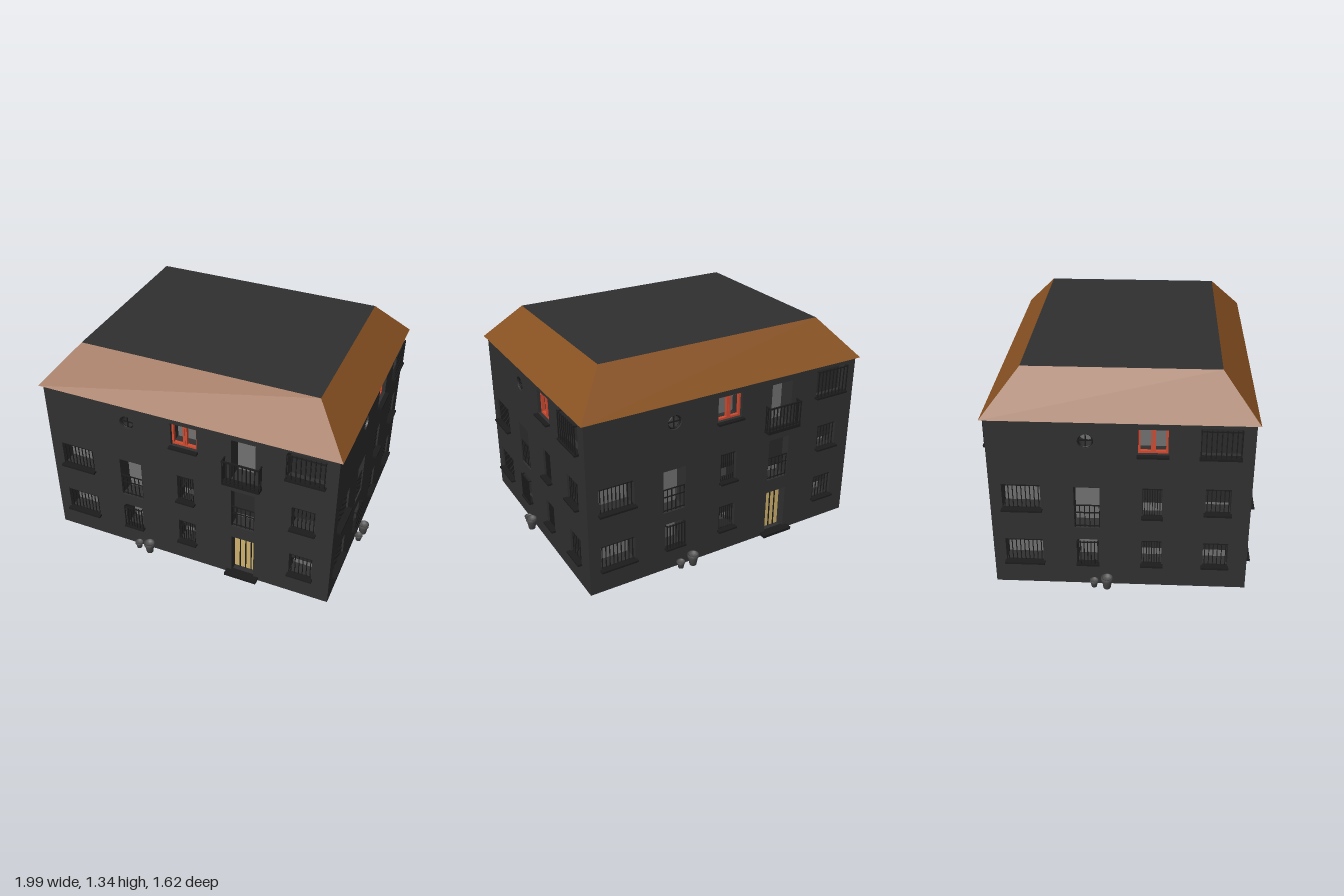
import * as THREE from 'three';
import { mergeGeometries } from 'three/addons/utils/BufferGeometryUtils.js';

const paint = (color, side = THREE.FrontSide) => new THREE.MeshStandardMaterial({ color, side });
const MAT = {
  wall: paint(0x303030, THREE.DoubleSide),
  glass: paint(0x707070, THREE.DoubleSide),
  blind: paint(0x2a2a2a),
  iron: paint(0x1c1c1c),
  roof: paint(0x8a5222),
  door: paint(0xcdb06c, THREE.DoubleSide),
  red: paint(0xd04a30),
  pot: paint(0x505050, THREE.DoubleSide),
};

function mesh(parent, name, geometry, material) {
  const m = new THREE.Mesh(geometry, material);
  m.name = name;
  parent.add(m);
  return m;
}

// Box given by its centre and size
const box = (x, y, z, w, h, d) => new THREE.BoxGeometry(w, h, d).translate(x, y, z);

// Evenly spaced upright bars between x0 and x1
function bars(x0, x1, y0, y1, z, n, t = 0.005) {
  return Array.from({ length: n }, (_, i) =>
    box(x0 + ((x1 - x0) * i) / (n - 1), (y0 + y1) / 2, z, t, y1 - y0, t));
}

// Four-sided reveal of an opening, open at front and back
function reveal(x, y, w, h, depth) {
  const g = box(x, y, -depth / 2, w, h, depth);
  g.setIndex(Array.from(g.index.array.slice(0, 24)));
  g.clearGroups();
  return g;
}

// Recessed opening with a back pane, optional roller blind and sill
function opening(wall, o) {
  const depth = o.depth ?? 0.1;
  const h = o.y1 - o.y0, y = (o.y0 + o.y1) / 2;
  const g = new THREE.Group();
  g.name = o.kind;
  wall.add(g);
  mesh(g, 'reveal', reveal(o.x, y, o.w, h, depth), MAT.wall);
  mesh(g, 'pane', new THREE.PlaneGeometry(o.w, h).translate(o.x, y, -depth),
    o.kind === 'door' ? MAT.door : MAT.glass);
  if (o.blind) mesh(g, 'blind', box(o.x, (o.blind + o.y1) / 2, -0.06, o.w, o.y1 - o.blind, 0.01), MAT.blind);
  if (o.sill) mesh(g, 'sill', box(o.x, o.sill, 0.005, o.w + 0.015, 0.012, 0.045), MAT.iron);

  const l = o.x - o.w / 2, r = o.x + o.w / 2;
  const parts = [];
  if (o.kind === 'barredWindow') {
    parts.push(...bars(l + 0.012, r - 0.012, o.y0, o.y1, -0.012, o.bars));
    parts.push(box(o.x, o.y1 - 0.012, -0.012, o.w, 0.005, 0.005));
  }
  if (o.kind === 'cagedWindow') {
    // Grille standing proud of the wall on top and bottom rails
    parts.push(...bars(l, r, o.y0, o.y1, 0.018, o.bars, 0.006));
    for (const yy of [o.y0 + 0.004, o.y1 - 0.008]) {
      parts.push(box(o.x, yy, 0.018, o.w, 0.006, 0.006));
      for (const xx of [l, r]) parts.push(box(xx, yy, 0.008, 0.006, 0.006, 0.026));
    }
  }
  if (o.kind === 'frenchWindow') {
    const top = o.y0 + 0.15;
    parts.push(...bars(l + 0.004, r - 0.004, o.y0, top, -0.01, 6));
    for (const yy of [o.y0 + 0.01, o.y0 + 0.1, top]) parts.push(box(o.x, yy, -0.01, o.w, 0.006, 0.006));
  }
  if (o.kind === 'balconyDoor') {
    const W = 0.225, D = 0.045;
    mesh(g, 'balconySlab', box(o.x, 0.76, D / 2, W + 0.01, 0.02, D + 0.005), MAT.iron);
    parts.push(...bars(o.x - W / 2, o.x + W / 2, 0.76, 0.92, D, 10, 0.006));
    parts.push(box(o.x, 0.92, D, W + 0.008, 0.008, 0.01), box(o.x, 0.785, D, W, 0.006, 0.006));
    for (const s of [-1, 1]) {
      parts.push(box(o.x + s * W / 2, 0.92, D / 2, 0.008, 0.008, D));
      for (const z of [0.006, D / 2]) parts.push(box(o.x + s * W / 2, 0.84, z, 0.006, 0.16, 0.006));
    }
  }
  if (o.kind === 'door') {
    parts.push(...bars(l + o.w / 4, r - o.w / 4, o.y0, o.y1, 0.003 - depth, 3, 0.006));
    mesh(g, 'doorstep', box(o.x, 0.015, 0.015, 0.21, 0.018, 0.06), MAT.iron);
  }
  if (o.kind === 'casementWindow') {
    const t = 0.012, z = -0.03;
    const frame = [l + t / 2, o.x - 0.006, o.x + 0.008, r - t / 2].map(x => box(x, y, z, t, h, 0.02));
    for (const yy of [o.y0 + t / 2, o.y1 - t / 2]) frame.push(box(o.x, yy, z, o.w, t, 0.02));
    mesh(g, 'casementFrame', mergeGeometries(frame), MAT.red);
  }
  if (parts.length) mesh(g, 'ironwork', mergeGeometries(parts), MAT.iron);
}

// Round window with a ring and a cross
function roundWindow(wall, x, y, r) {
  const g = new THREE.Group();
  g.name = 'roundWindow';
  g.position.set(x, y, 0);
  wall.add(g);
  const tube = new THREE.CylinderGeometry(r, r, 0.1, 24, 1, true).rotateX(Math.PI / 2).translate(0, 0, -0.05);
  mesh(g, 'reveal', tube, MAT.wall);
  mesh(g, 'pane', new THREE.CircleGeometry(r, 24).translate(0, 0, -0.1), MAT.glass);
  mesh(g, 'ring', new THREE.TorusGeometry(r - 0.004, 0.005, 6, 24).translate(0, 0, -0.015), MAT.iron);
  mesh(g, 'cross', mergeGeometries([box(0, 0, -0.015, 2 * r, 0.007, 0.007), box(0, 0, -0.015, 0.007, 2 * r, 0.007)]), MAT.iron);
}

// Tapered pot with a rim, hollow on top
function pot(parent, name, x, r, h) {
  const profile = [[0, 0], [0.62, 0], [0.86, 0.74], [1, 0.76], [1, 1], [0.82, 1], [0.76, 0.8], [0, 0.78]]
    .map(([a, b]) => new THREE.Vector2(a * r, b * h));
  mesh(parent, name, new THREE.LatheGeometry(profile, 18).toNonIndexed(), MAT.pot).position.set(x, 0, r + 0.002);
}

function wall(name, width, openings, round, pots) {
  const g = new THREE.Group();
  g.name = name;
  const shape = new THREE.Shape();
  shape.moveTo(-width / 2, 0).lineTo(width / 2, 0).lineTo(width / 2, 1.105).lineTo(-width / 2, 1.105).closePath();
  for (const o of openings) {
    const a = o.x - o.w / 2, b = o.x + o.w / 2;
    shape.holes.push(new THREE.Path().moveTo(a, o.y0).lineTo(a, o.y1).lineTo(b, o.y1).lineTo(b, o.y0).closePath());
  }
  shape.holes.push(new THREE.Path().absarc(round, 0.975, 0.045, 0, Math.PI * 2, true));
  mesh(g, 'wallFace', new THREE.ShapeGeometry(shape, 12), MAT.wall);
  openings.forEach(o => opening(g, o));
  roundWindow(g, round, 0.975, 0.045);
  pot(g, 'largePot', pots[0], 0.035, 0.075);
  pot(g, 'smallPot', pots[1], 0.026, 0.045);
  return g;
}

// Window columns shared by both kinds of wall
const columns = (wide, tall, narrow, small) => [
  { kind: 'barredWindow', x: wide, w: 0.22, y0: 0.15, y1: 0.31, bars: 9, blind: 0.28, sill: 0.15 },
  { kind: 'barredWindow', x: wide, w: 0.22, y0: 0.52, y1: 0.685, bars: 9, blind: 0.665, sill: 0.52 },
  { kind: 'cagedWindow', x: tall, w: 0.12, y0: 0.15, y1: 0.32, bars: 7, sill: 0.15 },
  { kind: 'frenchWindow', x: tall, w: 0.148, y0: 0.4, y1: 0.68, blind: 0.64 },
  { kind: 'barredWindow', x: narrow, w: 0.115, y0: 0.15, y1: 0.32, bars: 7, blind: 0.23, sill: 0.15 },
  { kind: 'barredWindow', x: narrow, w: 0.11, y0: 0.465, y1: 0.68, bars: 7, blind: 0.55, sill: 0.487 },
  { kind: 'casementWindow', x: narrow, w: 0.165, y0: 0.9, y1: 1.055, blind: 1.03, sill: 0.893 },
  { kind: 'barredWindow', x: small, w: 0.145, y0: 0.15, y1: 0.315, bars: 6, blind: 0.23, sill: 0.15 },
  { kind: 'barredWindow', x: small, w: 0.145, y0: 0.52, y1: 0.685, bars: 6, blind: 0.565, sill: 0.52 },
  { kind: 'cagedWindow', x: small, w: 0.22, y0: 0.89, y1: 1.07, bars: 9, blind: 0.89, sill: 0.89 },
];
const doorColumn = [
  { kind: 'door', x: 0.37, w: 0.145, y0: 0.012, y1: 0.31, depth: 0.06 },
  { kind: 'frenchWindow', x: 0.37, w: 0.148, y0: 0.4, y1: 0.68, blind: 0.465 },
  { kind: 'balconyDoor', x: 0.37, w: 0.148, y0: 0.77, y1: 1.05 },
];

export function createModel() {
  const house = new THREE.Group();
  house.name = 'house';
  const X = 0.925, Z = 0.74;

  // Opposite walls repeat, turned half round
  for (let i = 0; i < 2; i++) {
    const long = wall(i ? 'backWall' : 'frontWall', 2 * X,
      [...columns(-0.742, -0.37, 0, 0.742), ...doorColumn], -0.37, [-0.26, -0.34]);
    long.rotation.y = i * Math.PI;
    long.position.z = i ? -Z : Z;
    const short = wall(i ? 'rightWall' : 'leftWall', 2 * Z,
      columns(-0.56, -0.187, 0.185, 0.555), -0.187, [-0.075, -0.152]);
    short.rotation.y = Math.PI / 2 + i * Math.PI;
    short.position.x = i ? -X : X;
    house.add(long, short);
  }

  // Hipped roof cut off flat: a box drawn in at the top
  const roof = new THREE.BoxGeometry(1.89, 0.235, 1.52).translate(0, 1.2175, 0);
  const p = roof.attributes.position;
  for (let i = 0; i < p.count; i++) {
    if (p.getY(i) < 1.2) continue;
    p.setX(i, Math.sign(p.getX(i)) * 0.74);
    p.setZ(i, Math.sign(p.getZ(i)) * 0.555);
  }
  roof.computeVertexNormals();
  const { roof: tile, wall: dark } = MAT;
  mesh(house, 'roof', roof, [tile, tile, dark, dark, tile, tile]);
  return house;
}
